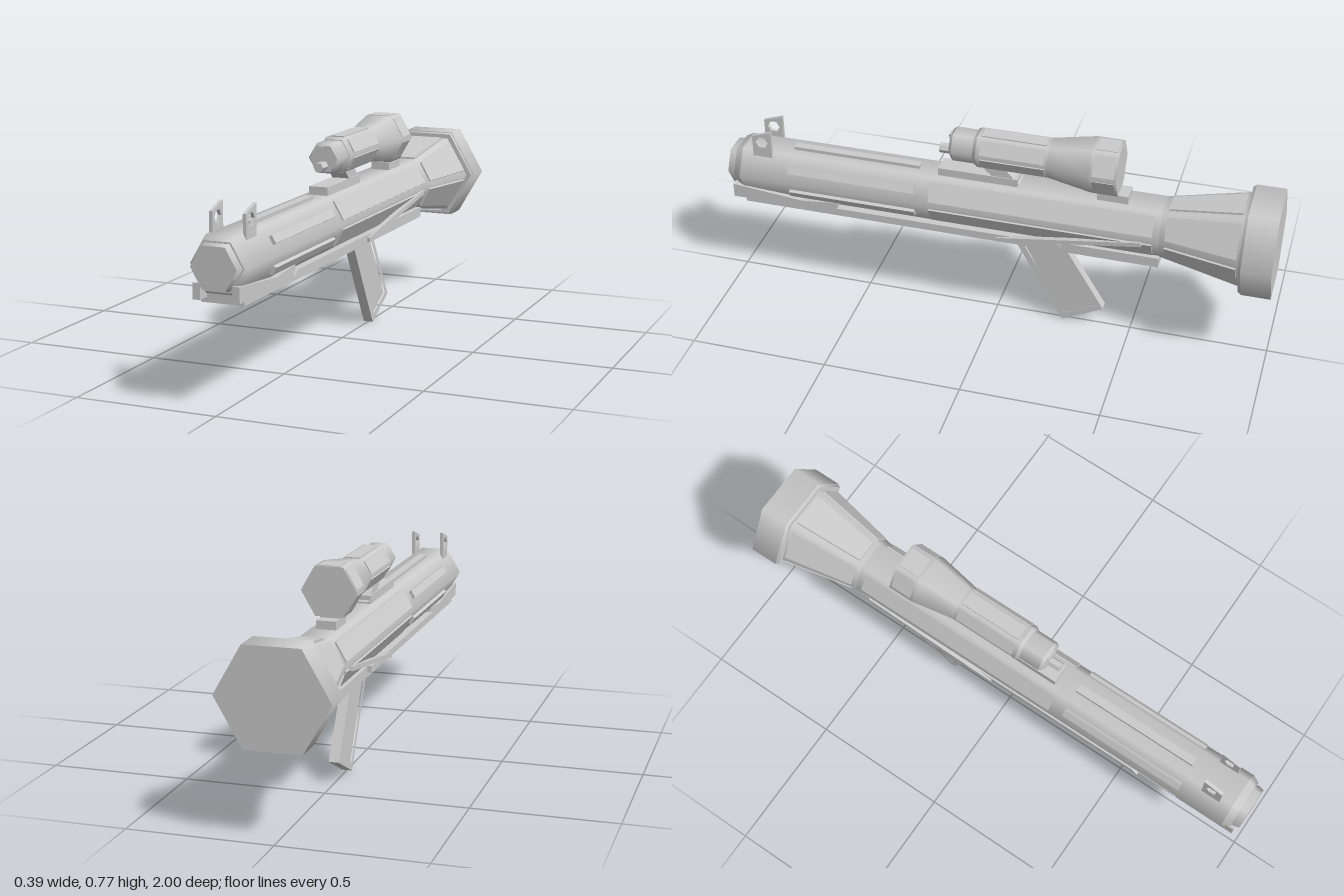
import * as THREE from 'three';
import { ConvexGeometry } from 'three/addons/geometries/ConvexGeometry.js';

export function createModel() {
  const root = new THREE.Group();
  root.name = 'shoulderLauncher';
  const smooth = new THREE.MeshStandardMaterial({ color: 0xcccccc });
  const flat = new THREE.MeshStandardMaterial({ color: 0xcccccc, flatShading: true });
  const AXIS = 0.472, SCOPE = 0.685, COS30 = Math.cos(Math.PI / 6);

  const add = (name, geo, mat = flat) => {
    const mesh = new THREE.Mesh(geo, mat);
    mesh.name = name;
    root.add(mesh);
    return mesh;
  };

  // six-sided section along z, corners pointing to +x and -x
  const hex = (name, y, zFront, rFront, zBack, rBack, mat = smooth) => {
    const g = new THREE.CylinderGeometry(rFront, rBack, zFront - zBack, 6, 1, false, Math.PI / 6);
    g.rotateX(Math.PI / 2).translate(0, y, (zFront + zBack) / 2);
    return add(name, g, mat);
  };

  // box given by its limits
  const box = (name, x0, x1, y0, y1, z0, z1) =>
    add(name, new THREE.BoxGeometry(x1 - x0, y1 - y0, z1 - z0)
      .translate((x0 + x1) / 2, (y0 + y1) / 2, (z0 + z1) / 2));

  // raised plate on one hexagon face; each end is [z, face distance, half width]
  const panel = (name, y, degrees, ends, height) => {
    const a = degrees * Math.PI / 180, pts = [];
    for (const [z, dist, half] of ends)
      for (const d of [dist - 0.01, dist + height])
        for (const w of [-half, half])
          pts.push(new THREE.Vector3(
            Math.cos(a) * d - Math.sin(a) * w, y + Math.sin(a) * d + Math.cos(a) * w, z));
    return add(name, new ConvexGeometry(pts));
  };

  // side profile of [z, y] points, extruded across x
  const profile = (name, pts, x, width, hole) => {
    const v = p => new THREE.Vector2(...p);
    const shape = new THREE.Shape(pts.map(v));
    if (hole) shape.holes.push(new THREE.Path(hole.map(v)));
    const g = new THREE.ExtrudeGeometry(shape, { depth: width, bevelEnabled: false });
    g.translate(0, 0, -width / 2).rotateY(-Math.PI / 2).translate(x, 0, 0);
    return add(name, g);
  };

  // main tube, nose and flared exhaust
  hex('muzzle', AXIS, 1, 0.08, 0.97, 0.086);
  hex('noseTaper', AXIS, 0.972, 0.092, 0.945, 0.107);
  hex('tube', AXIS, 0.945, 0.107, -0.6, 0.107);
  hex('exhaustCone', AXIS, -0.6, 0.107, -0.89, 0.166);
  hex('exhaustChamfer', AXIS, -0.885, 0.185, -0.9, 0.193);
  hex('exhaustRing', AXIS, -0.895, 0.193, -1, 0.193);

  // raised plates on the tube faces
  const apothem = 0.107 * COS30;
  for (const deg of [30, 150, 210, 330])
    panel('longSidePanel', AXIS, deg, [[0.23, apothem, 0.037], [-0.575, apothem, 0.037]], 0.006);
  for (const deg of [30, 90, 150, 210, 330])
    panel('forwardStrip', AXIS, deg, [[0.76, apothem, 0.015], [0.285, apothem, 0.015]], 0.012);
  for (let deg = 30; deg < 390; deg += 60)
    panel('conePanel', AXIS, deg, [[-0.62, 0.097, 0.04], [-0.875, 0.142, 0.062]], 0.006);

  // underside rail
  box('bottomRail', -0.075, 0.075, 0.348, 0.385, -0.6, 0.94);
  box('railStep', -0.05, 0.05, 0.345, 0.35, -0.25, 0.12);

  for (const s of [-1, 1]) {
    // forward rail cheeks
    profile('railCheek',
      [[0.985, 0.365], [0.985, 0.418], [0.72, 0.392], [0.58, 0.405], [0.58, 0.367]], s * 0.068, 0.026);
    // slim runner beside the rail
    profile('sideRunner',
      [[0.6, 0.372], [0.58, 0.388], [-0.25, 0.388], [-0.25, 0.365], [0.12, 0.365]], s * 0.08, 0.02);
    // diagonal brace from the rail up to the tube corner
    const from = new THREE.Vector3(s * 0.088, 0.37, -0.02);
    const to = new THREE.Vector3(s * 0.103, 0.457, -0.54);
    const brace = add('diagonalBrace', new THREE.BoxGeometry(0.018, 0.016, from.distanceTo(to)));
    brace.position.lerpVectors(from, to, 0.5);
    brace.lookAt(to);
    // upright sight leaf with hexagonal opening
    const hole = [];
    for (let i = 0; i < 6; i++) {
      const a = -i * Math.PI / 3;
      hole.push([0.864 + 0.023 * Math.cos(a), 0.606 + 0.023 * Math.sin(a)]);
    }
    profile('sightLeaf', [[0.9, 0.54], [0.9, 0.628], [0.828, 0.652], [0.828, 0.54]], s * 0.058, 0.012, hole);
  }

  // slanted grip: rim around a recessed plate
  const grip = [[-0.05, 0.355], [-0.25, 0.003], [-0.4, 0.08], [-0.235, 0.355]];
  const inset = [[-0.088, 0.335], [-0.256, 0.032], [-0.372, 0.09], [-0.222, 0.335]];
  profile('gripRim', grip, 0, 0.036, inset);
  profile('gripPlate', inset, 0, 0.026);

  // scope body
  hex('scopeFront', SCOPE, 0.165, 0.052, 0.155, 0.06);
  hex('scopeNeck', SCOPE, 0.155, 0.06, 0.075, 0.06);
  hex('scopeBodyLip', SCOPE, 0.077, 0.063, 0.065, 0.07);
  hex('scopeBody', SCOPE, 0.065, 0.07, -0.19, 0.07);
  hex('scopeFlare', SCOPE, -0.19, 0.07, -0.345, 0.098);
  hex('scopeEyepiece', SCOPE, -0.345, 0.098, -0.44, 0.098);
  hex('scopeKnob', 0.66, 0.21, 0.018, 0.16, 0.018, flat);
  for (let deg = 30; deg < 390; deg += 60) {
    const r = 0.07 * COS30, e = 0.098 * COS30;
    panel('scopePanel', SCOPE, deg, [[0.05, r, 0.026], [-0.18, r, 0.026]], 0.004);
    panel('eyepiecePanel', SCOPE, deg, [[-0.355, e, 0.038], [-0.432, e, 0.038]], 0.002);
  }
  // triangular index on the scope front
  const tri = new THREE.Shape([[-0.018, 0.729], [0, 0.685], [0.018, 0.729]].map(p => new THREE.Vector2(...p)));
  add('scopeIndex', new THREE.ExtrudeGeometry(tri, { depth: 0.012, bevelEnabled: false }).translate(0, 0, 0.16));

  // scope mounts
  box('mountPlate', -0.035, 0.035, 0.56, 0.594, -0.08, 0.21);
  profile('mountPylon', [[0.07, 0.645], [0.01, 0.59], [-0.085, 0.572], [-0.02, 0.645]], 0, 0.064);
  box('rearMountPlate', -0.035, 0.035, 0.56, 0.594, -0.475, -0.365);
  box('rearMountRiser', -0.035, 0.035, 0.59, 0.62, -0.43, -0.375);

  return root;
}
